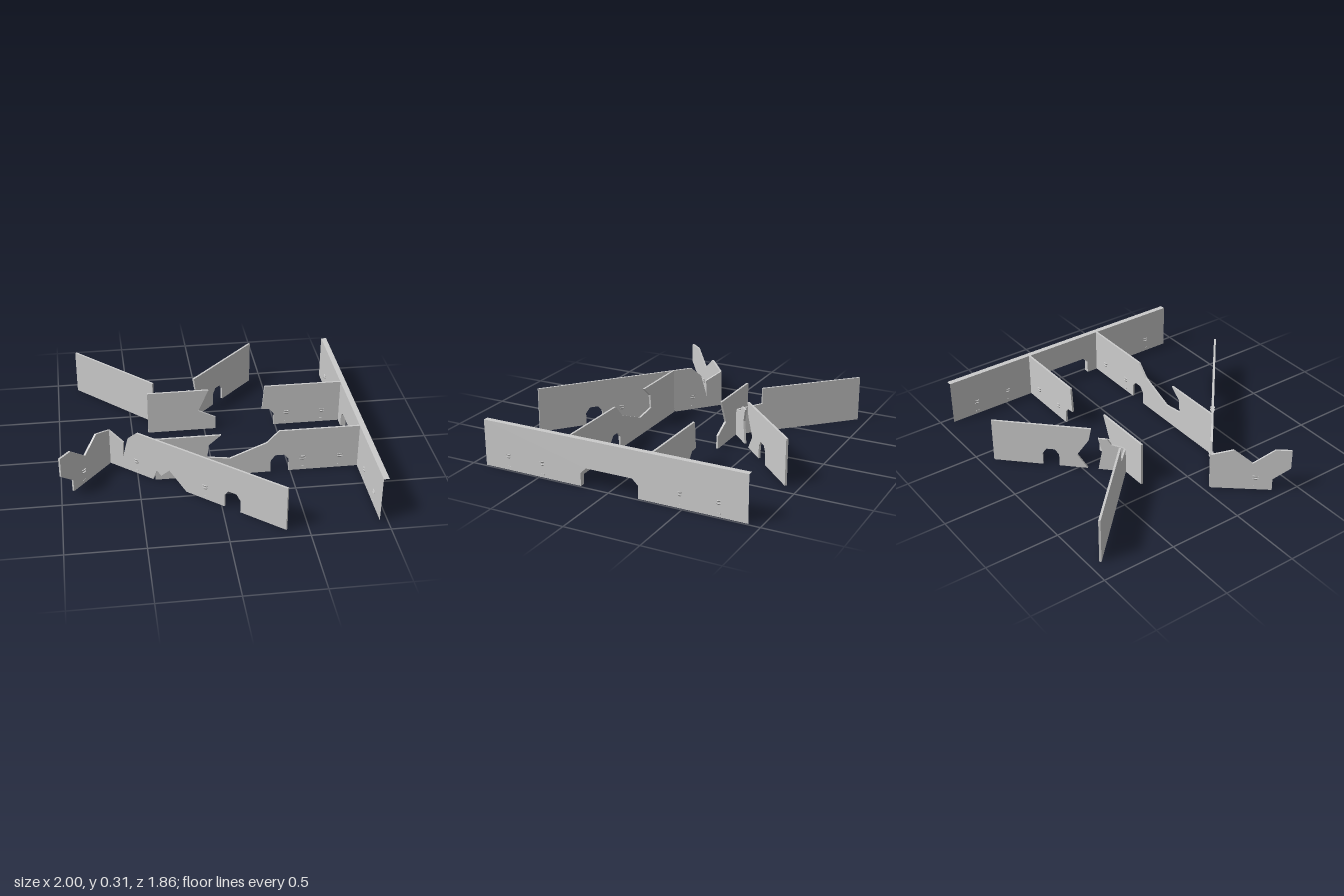
import * as THREE from 'three';

const H = 0.31;
const THIN = 0.014;
const mat = new THREE.MeshStandardMaterial({ color: 0xcccccc, flatShading: true });

// Chamfered arch cut into the bottom edge, left to right
const arch = (c, half, flat = half / 2) => {
  const side = [[half, 0], [half, 0.087], [flat, 0.125]];
  return [...side.map(([u, y]) => [c - u, y]), ...side.reverse().map(([u, y]) => [c + u, y])];
};

// Full-height rectangle with optional cuts in its bottom and top edges
const slab = (u0, u1, low = [], top = []) =>
  [[u0, 0], ...low, [u1, 0], [u1, H], ...top, [u0, H]];

// Removes the two narrow end faces of an extruded panel
function openEnds(geo, length) {
  const p = geo.attributes.position.array, kept = [];
  for (let i = 0; i < p.length; i += 9) {
    const atEnd = (e) => [0, 3, 6].every((k) => Math.abs(p[i + k] - e) < 1e-4);
    if (!atEnd(0) && !atEnd(length)) kept.push(...p.slice(i, i + 9));
  }
  const out = new THREE.BufferGeometry();
  out.setAttribute('position', new THREE.Float32BufferAttribute(kept, 3));
  out.computeVertexNormals();
  return out;
}

// Pair of stacked pegs through the wall, with a small slot plug below
function addStud(group, s, thickness) {
  for (const y of [0.083, 0.101]) {
    const peg = new THREE.Mesh(new THREE.CylinderGeometry(0.024, 0.016, 0.012, 10), mat);
    peg.scale.z = (thickness / 2 + 0.0095) / 0.024;
    peg.position.set(s, y, 0);
    peg.name = 'peg';
    group.add(peg);
  }
  for (const side of [-1, 1]) {
    const plug = new THREE.Mesh(new THREE.BoxGeometry(0.026, 0.01, 0.004), mat);
    plug.position.set(s, 0.022, side * thickness / 2);
    plug.name = 'slotPlug';
    group.add(plug);
  }
}

// Upright panel from plan point (ax, az) to (bx, bz). The outline is given in
// x along the wall, or in z for a wall that runs straight front to back.
function wall(name, [ax, az, bx, bz], outline, studs = [], thickness = THIN, open = false) {
  const group = new THREE.Group();
  const dx = bx - ax, dz = bz - az, length = Math.hypot(dx, dz);
  const along = (u) => (dx ? (u - ax) / dx : (u - az) / dz) * length;
  const shape = new THREE.Shape(outline.map(([u, y]) => new THREE.Vector2(along(u), y)));
  let geo = new THREE.ExtrudeGeometry(shape, { depth: thickness, bevelEnabled: false });
  if (open) geo = openEnds(geo, length);
  geo.translate(0, 0, -thickness / 2);
  const panel = new THREE.Mesh(geo, mat);
  panel.name = name + 'Panel';
  group.add(panel);
  studs.forEach((u) => addStud(group, along(u), thickness));
  group.position.set(ax, 0, az);
  group.rotation.y = Math.atan2(-dz, dx);
  group.name = name;
  return group;
}

export function createModel() {
  const model = new THREE.Group();
  model.name = 'ruinedWalls';
  const add = (...args) => model.add(wall(...args));

  // Long thick wall with a wide doorway
  add('longWall', [0.9705, -0.92, 0.9705, 0.905],
    slab(-0.92, 0.905, arch(0, 0.2, 0.16)), [-0.73, -0.48, 0.48, 0.73], 0.037, true);

  // Front cross wall with a collapsed middle
  const collapse = [[0.42, H], [0.34, 0.225], [0.1, 0.125], [-0.05, 0.145], [-0.04, 0.24], [0.04, H]];
  add('frontCrossWall', [-0.39, 0.287, 0.955, 0.287],
    slab(-0.39, 0.955, arch(0.43, 0.06), collapse), [0.58, 0.83]);

  // Rear cross wall in two pieces, one broken off at half an arch
  add('rearCrossWallStub', [0.405, -0.285, 0.955, -0.285],
    [...arch(0.43, 0.06).slice(3), [0.955, 0], [0.955, H], [0.42, H], [0.405, 0.13]], [0.58, 0.83]);
  add('rearCrossWallEnd', [-0.39, -0.285, 0.08, -0.285],
    [[-0.39, 0], [0.08, 0], [0.08, 0.09], [-0.04, 0.15], [0.03, H], [-0.39, H]]);

  // Front diagonal wall: cracked top, jagged gap and arch below
  const gap = [[-0.4, 0], [-0.375, 0.08], [-0.35, 0.05], [-0.3, 0.115], [-0.2, 0]];
  const crack = [[-0.495, H], [-0.55, 0.245], [-0.585, 0.08], [-0.58, 0.2]];
  add('frontDiagonalWall', [-0.67, 0.05, 0.363, 0.922],
    [[-0.67, 0], ...gap, ...arch(0.065, 0.045), [0.363, 0], [0.363, H], ...crack, [-0.67, 0.255]],
    [-0.5, -0.09]);

  // Short wing with a notched top and broken lower corner
  add('shortWing', [-0.67, 0.05, -0.997, 0.435],
    [[-0.67, 0], [-0.925, 0], [-0.925, 0.085], [-0.997, 0.175], [-0.997, H],
      [-0.93, H], [-0.84, 0.2], [-0.76, 0.297], [-0.67, 0.255]], [-0.855]);

  // Rear right diagonal, stepped down at the corner
  add('rearDiagonalWing', [-0.21, -0.29, -0.853, -0.928],
    [[-0.21, 0], [-0.853, 0], [-0.853, H], [-0.339, H], [-0.339, 0.2], [-0.21, 0.18]]);

  // Rear left diagonal, split by a ragged break
  const rearLeft = [-0.21, -0.29, 0.411, -0.91];
  add('rearDiagonalStub', rearLeft,
    [[-0.21, 0], [-0.086, 0], [-0.105, 0.15], [-0.086, 0.24], [-0.13, 0.24], [-0.148, 0.2], [-0.21, 0.18]]);
  add('rearDiagonalWall', rearLeft,
    [[-0.036, 0], ...arch(0.137, 0.039), [0.411, 0], [0.411, H], [-0.055, H], [-0.043, 0.22], [0.013, 0.1]]);

  return model;
}
